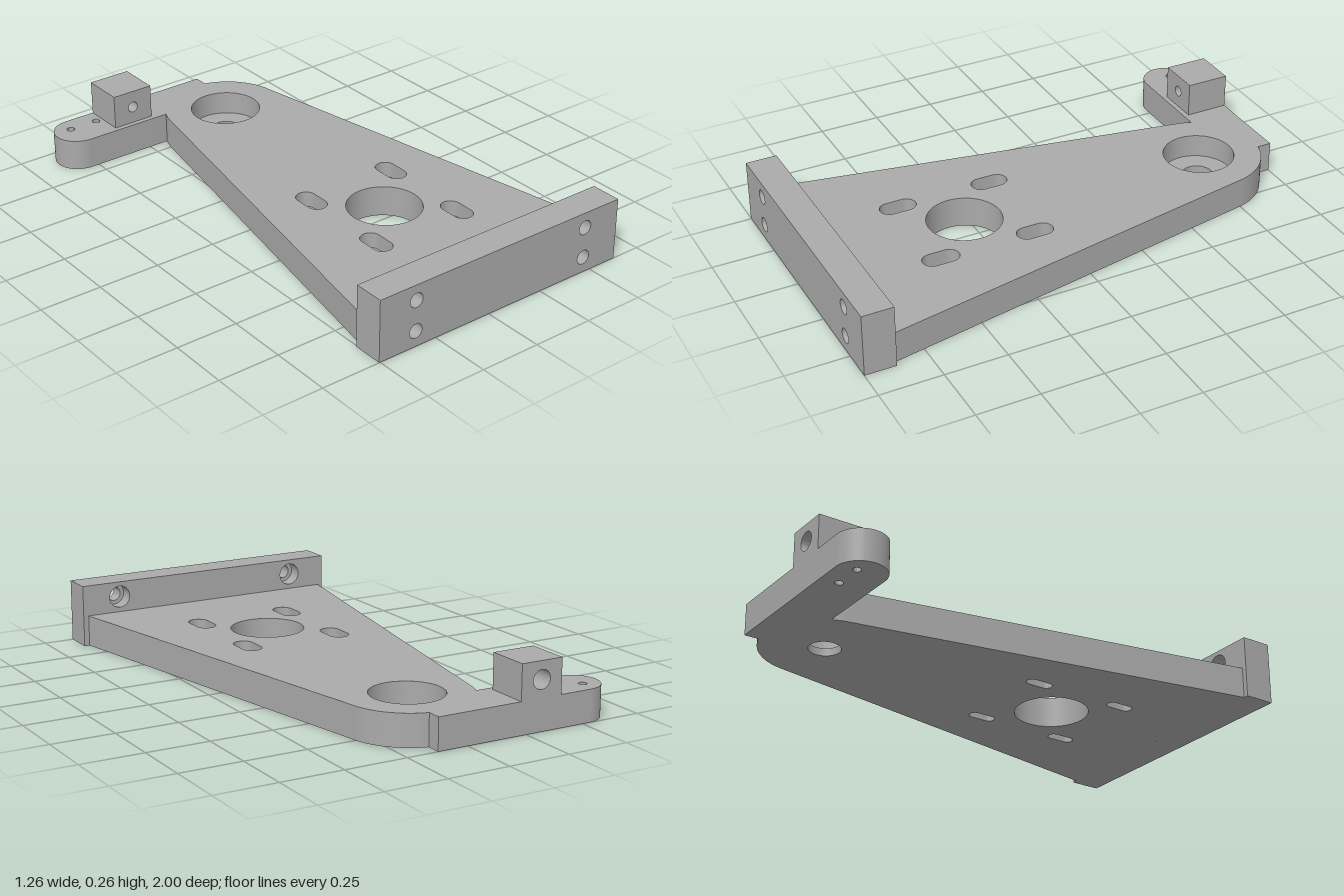
import * as THREE from 'three';
import { toCreasedNormals } from 'three/addons/utils/BufferGeometryUtils.js';

const grey = new THREE.MeshStandardMaterial({ color: 0xaaaaaa });
grey.name = 'machined grey';

const circle = (x, y, r) => new THREE.Path().absarc(x, y, r, 0, Math.PI * 2, true);

// Slot running along the shape's y axis
function slot(x, y, r, half) {
  const p = new THREE.Path();
  p.absarc(x, y + half, r, 0, Math.PI, false);
  p.absarc(x, y - half, r, Math.PI, Math.PI * 2, false);
  p.closePath();
  return p;
}

function rect(x0, y0, x1, y1) {
  return new THREE.Shape([[x0, y0], [x1, y0], [x1, y1], [x0, y1]].map(([x, y]) => new THREE.Vector2(x, y)));
}

// Slab of a shape with holes, between two depths along its extrusion axis
function slab(name, shape, holes, from, to, flat = false) {
  shape.holes = holes;
  let geo = new THREE.ExtrudeGeometry(shape, { depth: to - from, bevelEnabled: false, curveSegments: 32 });
  geo.translate(0, 0, from);
  if (flat) geo.rotateX(-Math.PI / 2); // shape y becomes -z, depth becomes height
  geo = toCreasedNormals(geo, 0.5);
  const mesh = new THREE.Mesh(geo, grey);
  mesh.name = name;
  return mesh;
}

// Tapered plate with rounded end and sideways arm
function plateOutline() {
  const s = new THREE.Shape();
  s.moveTo(-0.485, -0.875);
  s.lineTo(0.605, -0.875);
  s.absarc(0.06, 0.7, 0.25, 0.182, 1.312, false);
  s.lineTo(0.124, 1);
  s.absarc(-0.532, 0.902, 0.098, Math.PI / 2, Math.PI * 1.5, false);
  s.absarc(0.06, 0.7, 0.25, Math.PI - 0.429, Math.PI - 0.182, false);
  s.closePath();
  return s;
}

function plateHoles(boreRadius, slotRadius) {
  const holes = [
    circle(0.06, -0.34, 0.147),
    circle(0.06, 0.7, boreRadius),
    circle(-0.55, 0.928, 0.016),
    circle(-0.43, 0.928, 0.016),
  ];
  for (const x of [-0.135, 0.257])
    for (const y of [-0.14, -0.53]) holes.push(slot(x, y, slotRadius, 0.034));
  return holes;
}

export function createModel() {
  const model = new THREE.Group();
  model.name = 'mountingBracket';

  // Base plate in layers: stepped bearing bore and stepped slots
  const plate = new THREE.Group();
  plate.name = 'basePlate';
  plate.add(
    slab('plateBottom', plateOutline(), plateHoles(0.062, 0.023), 0, 0.031, true),
    slab('plateMiddle', plateOutline(), plateHoles(0.142, 0.023), 0.031, 0.0625, true),
    slab('plateTop', plateOutline(), plateHoles(0.142, 0.04), 0.0625, 0.126, true),
  );

  // Front flange: upper bolt holes counterbored from behind, lower ones blind
  const flangeHoles = (upperRadius) => [-0.342, 0.463].flatMap((x) => [
    circle(x, 0.19, upperRadius), circle(x, 0.064, 0.029)]);
  const flange = new THREE.Group();
  flange.name = 'frontFlange';
  flange.add(
    slab('flangeBack', rect(-0.505, 0, 0.627, 0.253), flangeHoles(0.045), 0.875, 0.935),
    slab('flangeFront', rect(-0.505, 0, 0.627, 0.253), flangeHoles(0.029), 0.935, 1),
  );

  // Stop block on the arm with a counterbored adjuster hole
  const block = new THREE.Group();
  block.name = 'adjusterBlock';
  block.add(
    slab('blockBack', rect(-0.4, 0.126, -0.225, 0.265), [circle(-0.3125, 0.195, 0.037)], -1, -0.91),
    slab('blockFront', rect(-0.4, 0.126, -0.225, 0.265), [circle(-0.3125, 0.195, 0.022)], -0.91, -0.825),
  );

  model.add(plate, flange, block);
  return model;
}
